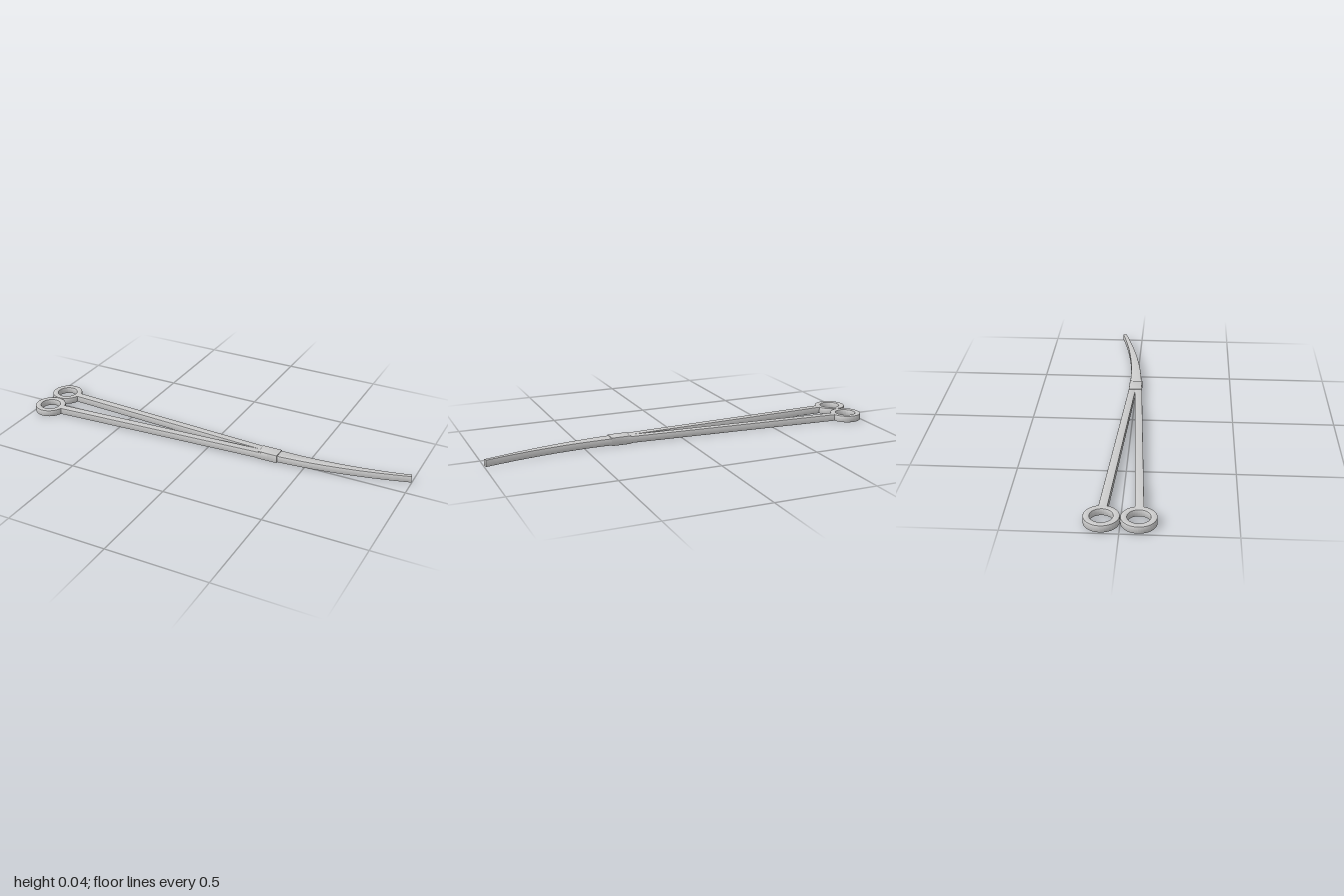
import * as THREE from 'three';
import { toCreasedNormals } from 'three/addons/utils/BufferGeometryUtils.js';

const material = new THREE.MeshStandardMaterial({ color: 0xcccccc });
const BEVEL = 0.003;

// Plate with bevelled edges, lying flat: shape (x, y) becomes (x, -z).
function plate(name, shape, bottom, top) {
  const geometry = new THREE.ExtrudeGeometry(shape, {
    depth: top - bottom - 2 * BEVEL,
    bevelThickness: BEVEL, bevelSize: BEVEL, bevelOffset: -BEVEL, bevelSegments: 2,
    curveSegments: 48,
  });
  geometry.rotateX(-Math.PI / 2).translate(0, bottom + BEVEL, 0);
  const mesh = new THREE.Mesh(toCreasedNormals(geometry, 0.5), material);
  mesh.name = name;
  return mesh;
}

const polygon = (points) => new THREE.Shape(points.map(([x, y]) => new THREE.Vector2(x, y)));

export function createModel() {
  const group = new THREE.Group();
  group.name = 'curvedForceps';
  const bottom = 0.004, top = 0.038;

  // Finger rings and shanks, mirrored about the long axis
  for (const [side, s] of [['back', 1], ['front', -1]]) {
    const ring = new THREE.Shape().absarc(-0.922, s * 0.079, 0.078, 0, Math.PI * 2);
    ring.holes.push(new THREE.Path().absarc(-0.922, s * 0.079, 0.05, 0, Math.PI * 2, true));
    group.add(plate(side + 'FingerRing', ring, bottom, top));

    const shank = polygon([
      [-0.86, s * 0.059], [0.315, s * -0.004], [0.315, s * 0.032], [-0.86, s * 0.098],
    ]);
    group.add(plate(side + 'Shank', shank, bottom, top));
  }

  // Box joint
  const joint = polygon([[0.265, -0.032], [0.365, -0.032], [0.365, 0.034], [0.265, 0.034]]);
  group.add(plate('boxJoint', joint, 0, 0.042));

  // Jaw: tapers while sweeping towards the back
  const near = [], far = [];
  const x0 = 0.315, length = 0.682, bend = 1.95, sweep = 0.098;
  for (let i = 0; i <= 28; i++) {
    const t = i / 28;
    const y = 0.002 + sweep * Math.pow(t, bend);
    const angle = Math.atan2(sweep * bend * Math.pow(t, bend - 1), length);
    const half = 0.01 + 0.022 * Math.pow(1 - t, 1.2);
    const dx = Math.sin(angle) * half, dy = Math.cos(angle) * half;
    near.push([x0 + length * t + dx, y - dy]);
    far.unshift([x0 + length * t - dx, y + dy]);
  }
  group.add(plate('jaw', polygon([...near, ...far]), bottom, top));

  return group;
}
